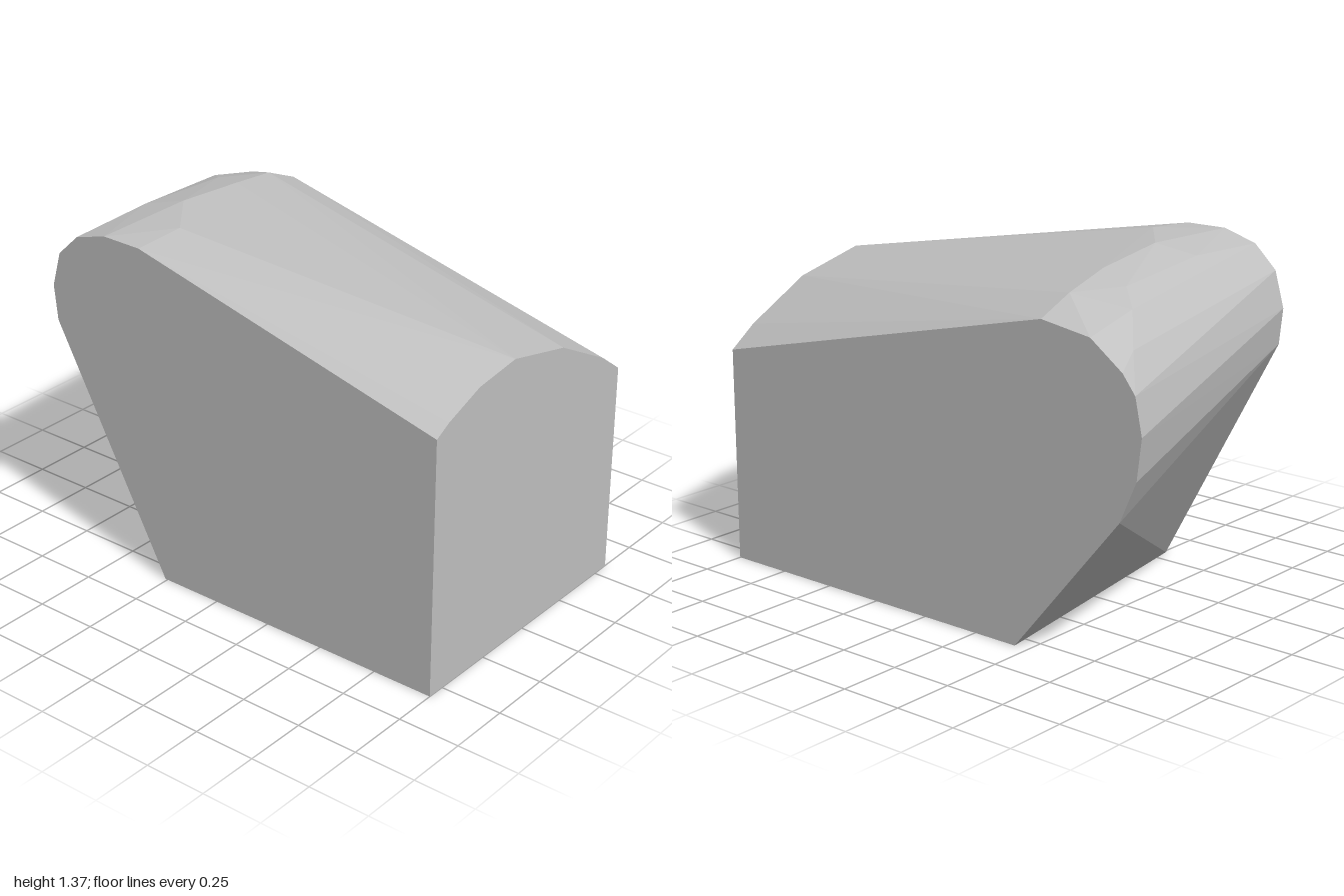
import * as THREE from 'three';
import { ConvexGeometry } from 'three/addons/geometries/ConvexGeometry.js';

const HALF_DEPTH = 0.573;

export function createModel() {
  const model = new THREE.Group();
  model.name = 'facetedBlock';
  const grey = new THREE.MeshStandardMaterial({ color: 0xc0c0c0 });
  grey.name = 'stone grey';

  // Flat front outline (x, y)
  const front = [
    [-0.26, 0], [-0.77, 0.95], [-0.785, 1.09], [-0.745, 1.23],
    [-0.65, 1.32], [-0.51, 1.36], [-0.34, 1.358],
  ];
  // Flat back outline (x, y)
  const back = [
    [-0.44, 0], [-0.91, 0.57], [-0.98, 0.73], [-1, 0.89],
    [-0.97, 1.03], [-0.915, 1.1], [-0.775, 1.2], [-0.56, 1.23],
  ];
  // Flat left end outline (z, y)
  const end = [
    [HALF_DEPTH, 0], [HALF_DEPTH, 1.028], [0.505, 1.065], [0.33, 1.13], [0.12, 1.156],
    [-0.185, 1.085], [-0.46, 0.94], [-HALF_DEPTH, 0.857], [-HALF_DEPTH, 0],
  ];
  // Corners of the rounded crown (x, y, z)
  const crown = [
    [-0.33, 1.372, 0.36], [-0.5, 1.37, 0.15], [-0.52, 1.336, -0.18], [-0.56, 1.295, -0.42],
    [-0.65, 1.335, 0.2], [-0.67, 1.302, -0.24], [-0.775, 1.255, -0.34], [-0.88, 1.152, -0.47],
  ];

  const corners = [
    ...front.map(([x, y]) => new THREE.Vector3(x, y, HALF_DEPTH)),
    ...back.map(([x, y]) => new THREE.Vector3(x, y, -HALF_DEPTH)),
    ...end.map(([z, y]) => new THREE.Vector3(1, y, z)),
    ...crown.map((p) => new THREE.Vector3(...p)),
  ];

  // One solid wrapped around all outlines, with flat facets
  const block = new THREE.Mesh(new ConvexGeometry(corners), grey);
  block.name = 'block';
  model.add(block);
  return model;
}
